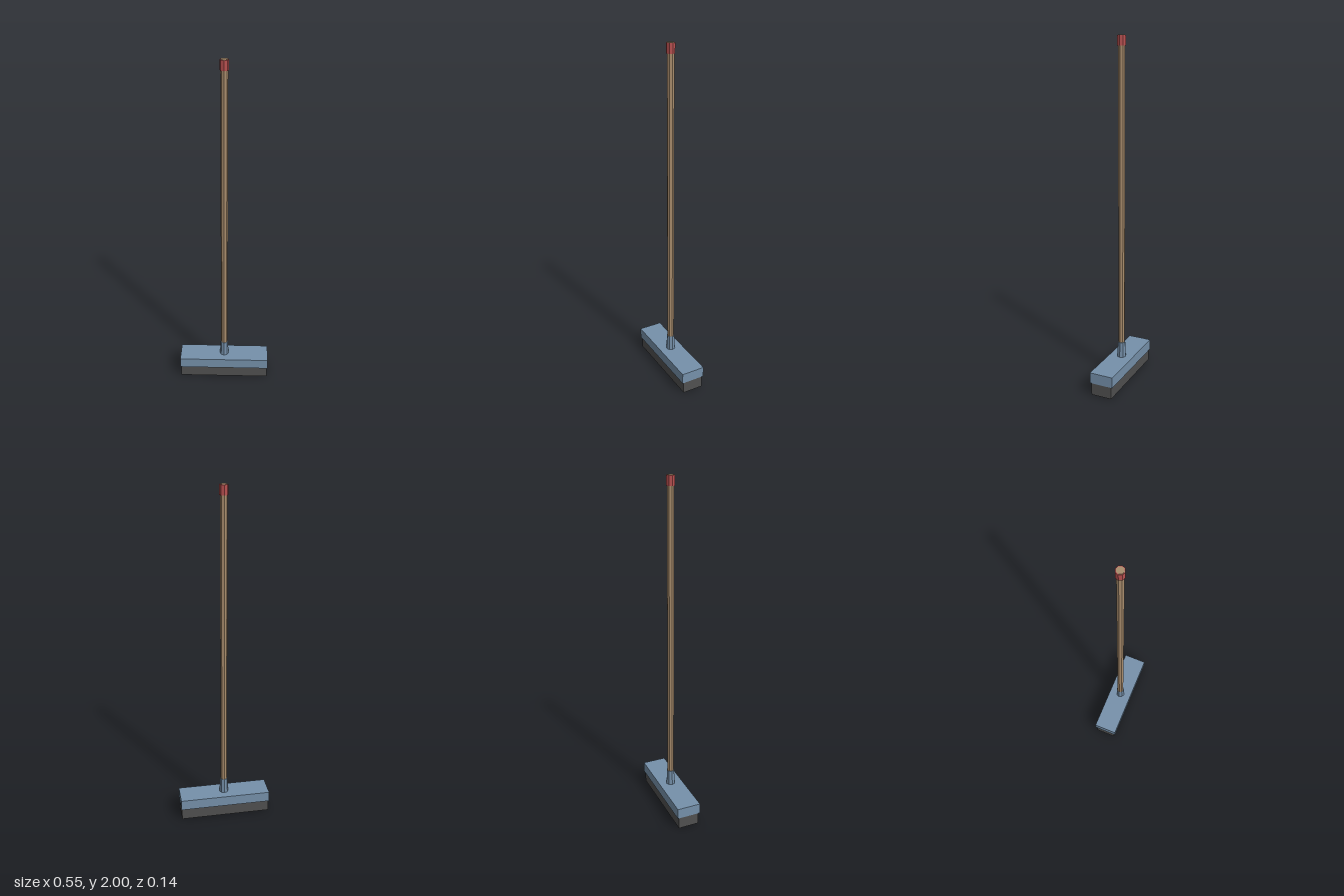
import * as THREE from 'three';

const SIDES = 8;

function material(color) {
  return new THREE.MeshStandardMaterial({ color, flatShading: true });
}

export function createModel() {
  const group = new THREE.Group();
  group.name = 'pushBroom';

  const blue = material(0x7590aa);
  const dark = material(0x505050);
  const wood = material(0xa88c6c);
  const red = material(0xb85050);

  // Adds a part spanning the heights y0 to y1
  function add(name, geometry, mat, y0, y1) {
    const mesh = new THREE.Mesh(geometry, mat);
    mesh.name = name;
    mesh.position.y = (y0 + y1) / 2;
    group.add(mesh);
  }
  function block(name, width, depth, y0, y1, mat) {
    add(name, new THREE.BoxGeometry(width, y1 - y0, depth), mat, y0, y1);
  }
  function rod(name, rTop, rBottom, y0, y1, mat) {
    add(name, new THREE.CylinderGeometry(rTop, rBottom, y1 - y0, SIDES), mat, y0, y1);
  }

  // Broom head
  block('bristles', 0.54, 0.124, 0, 0.073, dark);
  block('headBlock', 0.546, 0.142, 0.073, 0.137, blue);

  // Tapered socket, long pole and end cap (pole end shows through the cap)
  rod('socket', 0.023, 0.027, 0.137, 0.23, blue);
  rod('handle', 0.02, 0.02, 0.137, 2, wood);
  rod('endCap', 0.0245, 0.0245, 1.945, 1.998, red);

  return group;
}
